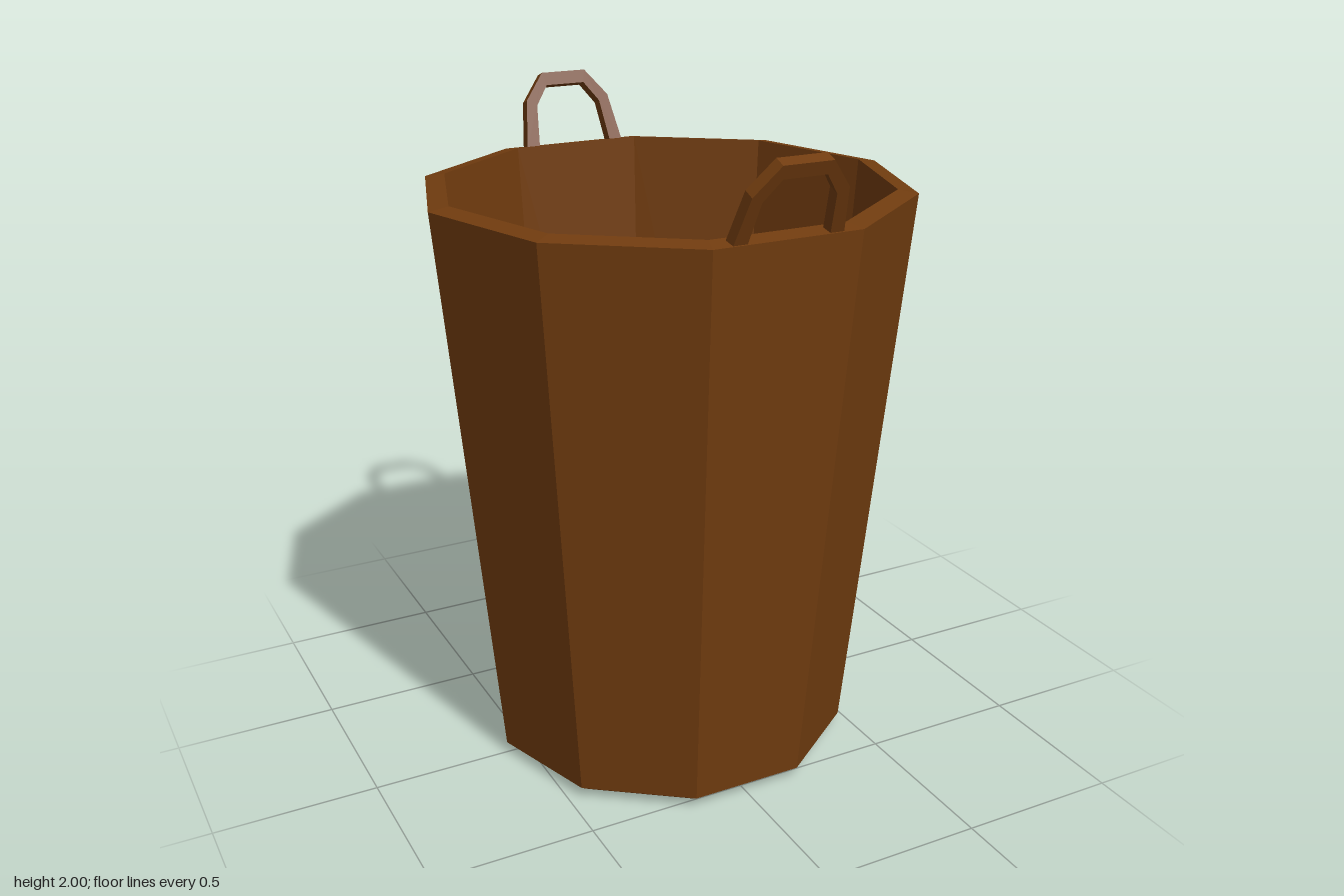
import * as THREE from 'three';

const wood = new THREE.MeshStandardMaterial({ color: 0x713c0f, flatShading: true });

// Ten-sided tub: chamfered foot, flared wall, sloped rim, inner wall and floor
function makeTub() {
  const profile = [
    [0, 0], [0.52, 0], [0.57, 0.035],
    [0.73, 1.775], [0.67, 1.785],
    [0.55, 0.07], [0, 0.07],
  ].map(([r, y]) => new THREE.Vector2(r, y));
  const tub = new THREE.Mesh(new THREE.LatheGeometry(profile, 10, Math.PI / 2), wood);
  tub.name = 'tub';
  return tub;
}

// Angular arched handle cut from a flat bar, leaning outward from the rim
function makeHandle() {
  const outer = [[0.168, 0], [0.143, 0.155], [0.075, 0.241]];
  const inner = [[0.065, 0.2], [0.11, 0.137], [0.125, 0]];
  const mirror = (pts) => pts.map(([x, y]) => [-x, y]).reverse();
  const outline = [...outer, ...mirror(outer), ...mirror(inner), ...inner];
  const shape = new THREE.Shape(outline.map(([x, y]) => new THREE.Vector2(x, y)));
  const bar = new THREE.ExtrudeGeometry(shape, { depth: 0.037, bevelEnabled: false });
  bar.rotateX(0.37).translate(0, 1.775, 0.65);
  return new THREE.Mesh(bar, wood);
}

export function createModel() {
  const model = new THREE.Group();
  model.name = 'basket';
  model.add(makeTub());

  // One handle on the front, one turned round to the back
  ['frontHandle', 'backHandle'].forEach((name, i) => {
    const handle = makeHandle();
    handle.name = name;
    handle.rotation.y = i * Math.PI;
    model.add(handle);
  });
  return model;
}
